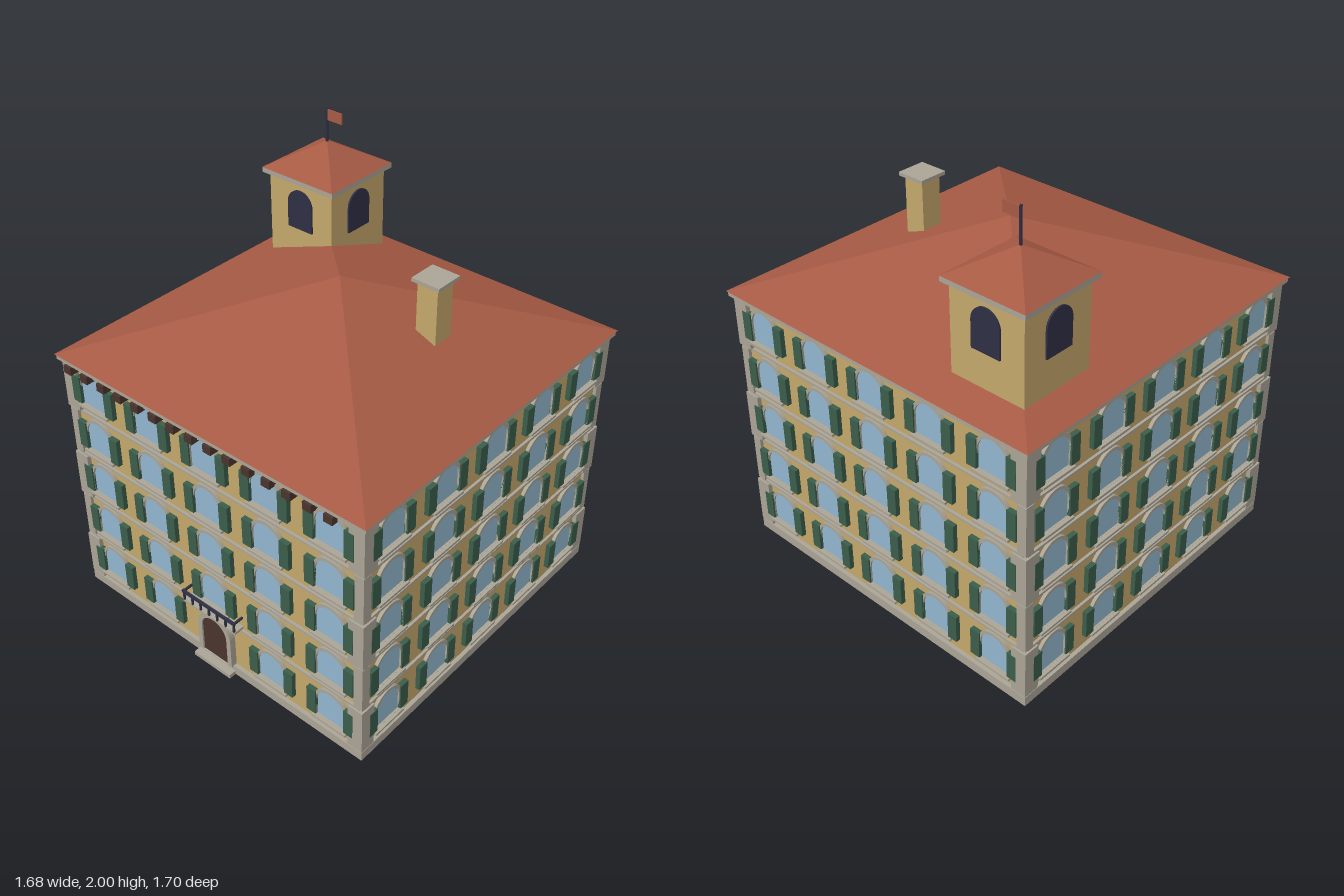
import * as THREE from 'three';

const mat = (name, color) => {
  const m = new THREE.MeshStandardMaterial({ color });
  m.name = name;
  return m;
};

export function createModel() {
  const wall = mat('ochre wall', 0xc4a76c);
  const stone = mat('pale stone', 0xaaa495);
  const tile = mat('terracotta', 0xa65a44);
  const glass = mat('window glass', 0x92b6ce);
  const green = mat('shutter green', 0x3a5d4a);
  const wood = mat('dark wood', 0x4b342d);
  const iron = mat('dark iron', 0x2f2f45);

  const model = new THREE.Group();
  model.name = 'palazzo';
  const building = new THREE.Group();
  building.name = 'building';
  building.position.z = -0.007;
  model.add(building);

  const add = (parent, name, geo, material, x = 0, y = 0, z = 0) => {
    const mesh = new THREE.Mesh(geo, material);
    mesh.name = name;
    mesh.position.set(x, y, z);
    parent.add(mesh);
    return mesh;
  };
  // box given by its centre in x and z and its bottom and top in y
  const box = (parent, name, material, w, d, y0, y1, x = 0, z = 0) =>
    add(parent, name, new THREE.BoxGeometry(w, y1 - y0, d), material, x, (y0 + y1) / 2, z);

  // round-headed outline standing on y = bottom
  const trace = (path, half, bottom, spring) => {
    path.moveTo(-half, bottom);
    path.lineTo(half, bottom);
    path.lineTo(half, spring);
    path.absarc(0, spring, half, 0, Math.PI, false);
    path.lineTo(-half, bottom);
    return path;
  };
  const extrude = (shape, depth) =>
    new THREE.ExtrudeGeometry(shape, { depth, bevelEnabled: false, curveSegments: 10 });
  const archPlate = (half, spring, depth) => extrude(trace(new THREE.Shape(), half, 0, spring), depth);
  const archFrame = (half, spring, border, depth) => {
    const shape = trace(new THREE.Shape(), half + border, 0, spring);
    shape.holes.push(trace(new THREE.Path(), half, 0.0005, spring));
    return extrude(shape, depth);
  };
  const pyramid = (parent, name, half, y0, y1, x = 0, z = 0) => {
    const geo = new THREE.ConeGeometry(half * Math.SQRT2, y1 - y0, 4, 1).rotateY(Math.PI / 4).toNonIndexed();
    geo.computeVertexNormals();
    return add(parent, name, geo, tile, x, (y0 + y1) / 2, z);
  };

  const W = 0.8; // half width of the walls
  const floorStep = 0.24;

  // main block
  box(building, 'plinth', stone, 1.638, 1.638, 0, 0.045);
  box(building, 'walls', wall, 2 * W, 2 * W, 0.045, 1.245);
  box(building, 'cornice', stone, 1.67, 1.67, 1.245, 1.268);
  pyramid(building, 'mainRoof', 0.841, 1.268, 1.59);

  // corner stones, alternating in width floor by floor
  for (const sx of [-1, 1]) for (const sz of [-1, 1]) for (let f = 0; f < 5; f++) {
    const inner = f % 2 ? 0.77 : 0.744;
    const outer = f % 2 ? 0.815 : 0.82;
    const c = (inner + outer) / 2;
    box(building, 'cornerStone', stone, outer - inner, outer - inner,
      0.05 + f * floorStep, 0.28 + f * floorStep, sx * c, sz * c);
  }

  // windows, shutters and string courses on all four sides
  const glassGeo = archPlate(0.074, 0.088, 0.006);
  const frameGeo = archFrame(0.074, 0.088, 0.015, 0.015);
  for (let side = 0; side < 4; side++) {
    const facade = new THREE.Group();
    facade.name = ['frontFacade', 'leftFacade', 'backFacade', 'rightFacade'][side];
    facade.rotation.y = side * Math.PI / 2;
    building.add(facade);
    for (let f = 0; f < 5; f++) {
      const y = 0.098 + f * floorStep;
      if (f) box(facade, 'stringCourse', stone, 1.6, 0.012, y - 0.058, y - 0.047, 0, W + 0.006);
      for (let c = -2; c <= 2; c++) {
        if (side === 0 && f === 0 && c === 0) continue; // doorway
        const win = new THREE.Group();
        win.name = 'window';
        win.position.set(c * 0.324, y, W);
        facade.add(win);
        add(win, 'pane', glassGeo, glass);
        add(win, 'windowFrame', frameGeo, stone);
        box(win, 'sill', stone, 0.18, 0.03, -0.011, 0, 0, 0.015);
        for (const s of [-1, 1]) box(win, 'shutter', green, 0.048, 0.022, 0.003, 0.134, s * 0.098, 0.011);
      }
    }
  }

  // brackets under the front eave
  for (let i = 0; i < 15; i++)
    box(building, 'eaveBracket', wood, 0.042, 0.045, 1.206, 1.243, -0.76 + i * 0.102, W + 0.0225);

  // doorway
  add(building, 'door', archPlate(0.074, 0.15, 0.012), wood, 0, 0.04, W + 0.01);
  add(building, 'doorSurround', archFrame(0.074, 0.15, 0.024, 0.03), stone, 0, 0.04, W);
  box(building, 'doorStep', stone, 0.216, 0.06, 0, 0.02, 0, 0.825);

  // balcony over the door
  box(building, 'balconySlab', stone, 0.31, 0.052, 0.297, 0.309, 0, W + 0.026);
  box(building, 'balconyRail', iron, 0.312, 0.01, 0.35, 0.364, 0, 0.85);
  for (let i = 0; i < 7; i++)
    box(building, 'baluster', iron, 0.008, 0.008, 0.309, 0.352, -0.148 + i * 0.0493, 0.849);
  for (const s of [-1, 1]) box(building, 'sideRail', iron, 0.008, 0.05, 0.352, 0.362, s * 0.15, W + 0.025);

  // chimney
  box(building, 'chimney', wall, 0.1, 0.1, 1.38, 1.68, 0.404, -0.103);
  box(building, 'chimneyCap', stone, 0.136, 0.136, 1.68, 1.696, 0.404, -0.103);

  // corner tower
  const tower = new THREE.Group();
  tower.name = 'tower';
  tower.position.set(-0.522, 0, -0.522);
  building.add(tower);
  box(tower, 'towerWalls', wall, 0.36, 0.36, 1.28, 1.707);
  box(tower, 'towerCornice', stone, 0.408, 0.408, 1.707, 1.73);
  pyramid(tower, 'towerRoof', 0.205, 1.73, 1.847);
  const openingGeo = archPlate(0.07, 0.12, 0.008);
  for (let side = 0; side < 4; side++) {
    const a = side * Math.PI / 2;
    const opening = add(tower, 'towerOpening', openingGeo, iron, 0.18 * Math.sin(a), 1.48, 0.18 * Math.cos(a));
    opening.rotation.y = a;
  }
  add(tower, 'flagPole', new THREE.CylinderGeometry(0.006, 0.006, 0.17, 8), iron, 0, 1.915, 0);
  box(tower, 'flag', tile, 0.082, 0.005, 1.945, 1.995, 0.045, 0);

  return model;
}
